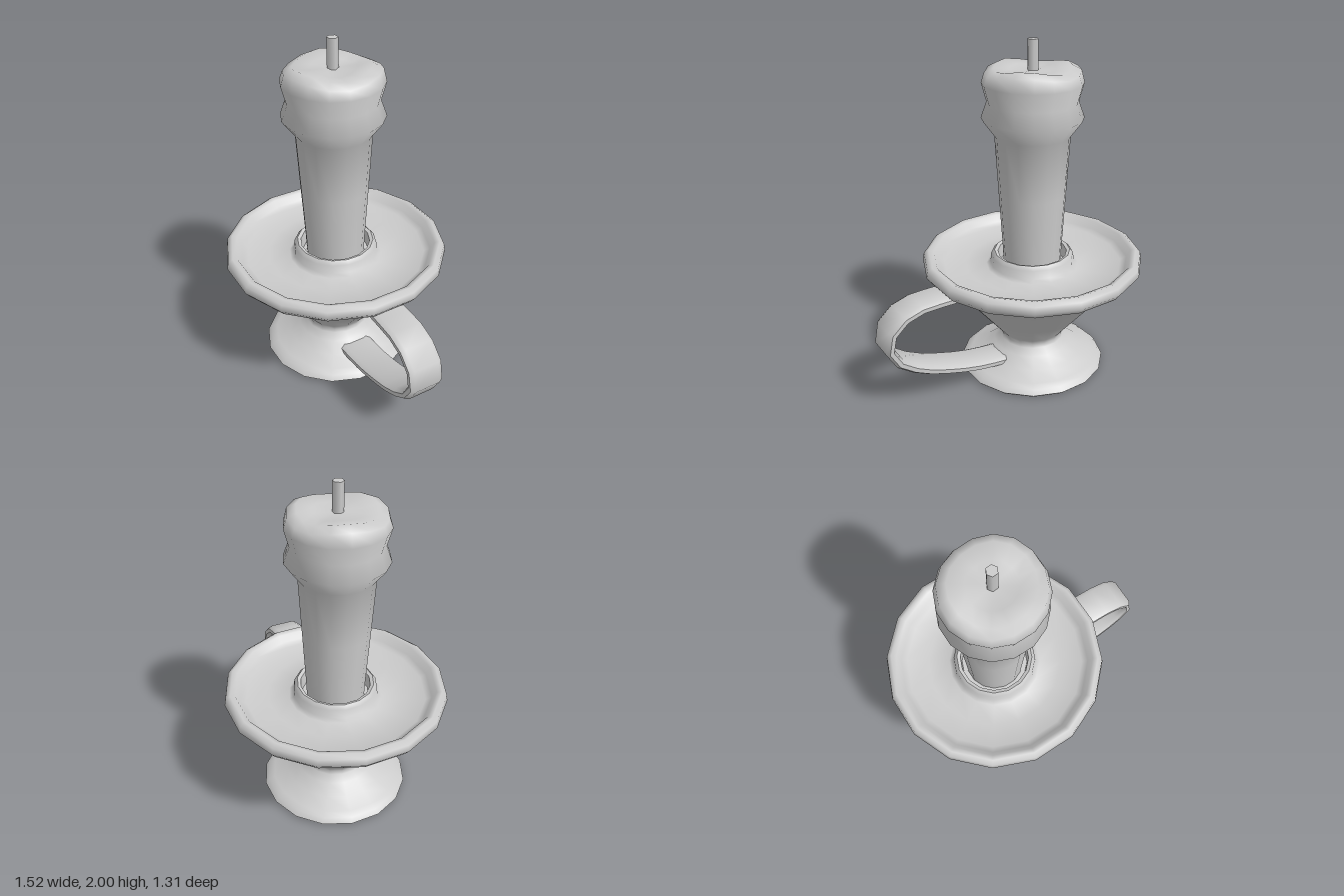
import * as THREE from 'three';
import { toCreasedNormals } from 'three/addons/utils/BufferGeometryUtils.js';

const SIDES = 16;
const AXIS_X = -0.11;
const material = new THREE.MeshStandardMaterial({ color: 0xcccccc });

function addMesh(group, name, geometry) {
  const mesh = new THREE.Mesh(geometry, material);
  mesh.name = name;
  group.add(mesh);
  return mesh;
}

// Profile points are [radius, height], running up the outside
function lathe(profile) {
  return new THREE.LatheGeometry(profile.map(([r, y]) => new THREE.Vector2(r, y)), SIDES);
}

// Flat band swept along a path in the XY plane; width runs along z
function sweepBand(path, halfWidth, halfThick) {
  const curve = new THREE.CatmullRomCurve3(path.map(([x, y]) => new THREE.Vector3(x, y, 0)));
  const section = [
    [1, -0.75], [1, 0.75], [0.45, 1], [-0.45, 1],
    [-1, 0.75], [-1, -0.75], [-0.45, -1], [0.45, -1],
  ];
  const steps = 14, n = section.length;
  const positions = [], index = [];
  for (let i = 0; i <= steps; i++) {
    const p = curve.getPointAt(i / steps);
    const t = curve.getTangentAt(i / steps);
    for (const [a, b] of section) {
      positions.push(p.x + t.y * a * halfThick, p.y - t.x * a * halfThick, b * halfWidth);
    }
  }
  for (let i = 0; i < steps; i++) {
    for (let j = 0; j < n; j++) {
      const a = i * n + j, b = i * n + (j + 1) % n;
      index.push(a, a + n, b, b, a + n, b + n);
    }
  }
  // End caps
  const last = steps * n;
  for (let j = 1; j < n - 1; j++) {
    index.push(0, j, j + 1, last, last + j + 1, last + j);
  }
  const geometry = new THREE.BufferGeometry();
  geometry.setAttribute('position', new THREE.Float32BufferAttribute(positions, 3));
  geometry.setIndex(index);
  return toCreasedNormals(geometry, 1.0);
}

export function createModel() {
  const model = new THREE.Group();
  model.name = 'candleHolder';
  const body = new THREE.Group();
  body.name = 'body';
  body.position.x = AXIS_X;
  model.add(body);

  // Holder: foot, waist, flared cup, rolled rim, dish and candle socket
  const holder = lathe([
    [0, 0.005], [0.43, 0.005], [0.443, 0.018], [0.42, 0.045], [0.385, 0.062],
    [0.3, 0.1], [0.235, 0.15], [0.195, 0.185], [0.187, 0.205], [0.2, 0.235],
    [0.3, 0.355], [0.42, 0.5], [0.545, 0.65], [0.575, 0.66],
    [0.63, 0.662], [0.655, 0.695], [0.648, 0.735], [0.62, 0.755],
    [0.59, 0.745], [0.565, 0.705], [0.53, 0.685], [0.4, 0.675], [0.275, 0.668],
    [0.25, 0.685], [0.245, 0.735], [0.225, 0.757], [0.205, 0.75], [0.198, 0.67], [0, 0.668],
  ]);
  addMesh(body, 'holder', toCreasedNormals(holder, 1.1));

  // Candle with a dripping collar and an uneven melted rim
  const candle = lathe([
    [0.17, 0.66], [0.175, 0.78], [0.195, 1.12], [0.215, 1.47], [0.288, 1.57],
    [0.255, 1.66], [0.283, 1.765], [0.265, 1.83], [0.215, 1.855], [0.13, 1.84], [0, 1.833],
  ]);
  const pos = candle.attributes.position;
  for (let i = 0; i < pos.count; i++) {
    const x = pos.getX(i), y = pos.getY(i), z = pos.getZ(i);
    if (y < 1.8) continue;
    const angle = Math.atan2(z, x);
    const weight = Math.min(1, Math.hypot(x, z) / 0.22);
    pos.setY(i, y + weight * (0.014 * Math.cos(3 * angle + 0.6) - 0.004));
  }
  candle.computeVertexNormals();
  addMesh(body, 'candle', toCreasedNormals(candle, 1.2));

  // Wick
  const wick = new THREE.CylinderGeometry(0.031, 0.031, 0.2, 6);
  addMesh(body, 'wick', wick).position.y = 1.9;

  // Curved handle set diagonally at the front left
  const handle = sweepBand([
    [0.22, 0.105], [0.4, 0.125], [0.57, 0.165], [0.8, 0.25], [0.94, 0.355],
    [0.975, 0.46], [0.92, 0.565], [0.8, 0.622], [0.65, 0.63], [0.45, 0.625],
  ], 0.1, 0.027);
  addMesh(body, 'handle', handle).rotation.y = -THREE.MathUtils.degToRad(35);

  return model;
}
